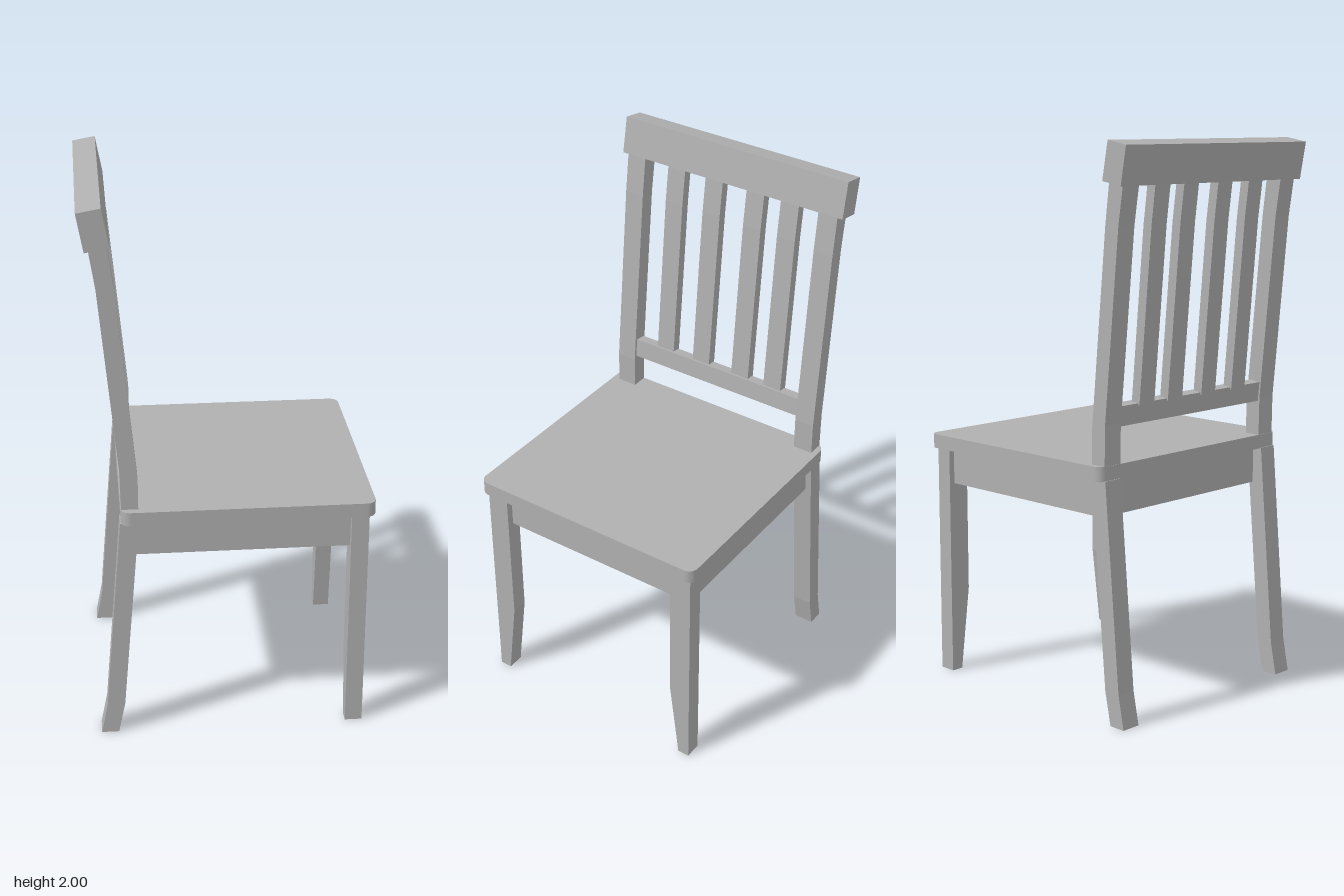
import * as THREE from 'three';

export function createModel() {
  const chair = new THREE.Group();
  chair.name = 'chair';
  const grey = new THREE.MeshStandardMaterial({ color: 0xb0b0b0 });
  grey.name = 'grey wood';

  const add = (name, geometry) => {
    const mesh = new THREE.Mesh(geometry, grey);
    mesh.name = name;
    chair.add(mesh);
    return mesh;
  };

  // Extrudes a side outline (x, y) between two z values
  const slab = (name, points, z0, z1) => {
    const shape = new THREE.Shape(points.map(([x, y]) => new THREE.Vector2(x, y)));
    const geometry = new THREE.ExtrudeGeometry(shape, { depth: z1 - z0, bevelEnabled: false });
    return add(name, geometry.translate(0, 0, z0));
  };

  // Seat board with rounded corners
  const x0 = -0.39, x1 = 0.508, w = 0.468, r = 0.035;
  const board = new THREE.Shape();
  board.moveTo(x0 + r, -w);
  board.lineTo(x1 - r, -w);
  board.absarc(x1 - r, -w + r, r, -Math.PI / 2, 0);
  board.absarc(x1 - r, w - r, r, 0, Math.PI / 2);
  board.absarc(x0 + r, w - r, r, Math.PI / 2, Math.PI);
  board.absarc(x0 + r, -w + r, r, Math.PI, Math.PI * 1.5);
  const seat = new THREE.ExtrudeGeometry(board, { depth: 0.052, bevelEnabled: false, curveSegments: 5 });
  add('seat', seat.rotateX(-Math.PI / 2).translate(0, 0.858, 0));

  // Solid apron under the seat
  add('apron', new THREE.BoxGeometry(0.815, 0.135, 0.85).translate(0.0525, 0.7925, 0));

  // Outlines of the curved rear leg and the leaning back post
  const rearLeg = [[-0.48, 0], [-0.417, 0], [-0.392, 0.12], [-0.328, 0.86], [-0.393, 0.86], [-0.456, 0.12]];
  const post = [[-0.388, 0.9], [-0.328, 0.9], [-0.328, 1.03], [-0.392, 1.72], [-0.412, 1.88],
    [-0.475, 1.87], [-0.452, 1.72], [-0.39, 1.05]];

  for (const side of [1, -1]) {
    const label = side > 0 ? 'Left' : 'Right';
    // Front leg tapers on its inner face
    const leg = new THREE.Shape([[0.363, 0.86], [0.363, 0.31], [0.402, 0], [0.447, 0], [0.447, 0.86]]
      .map(([z, y]) => new THREE.Vector2(side * z, y)));
    const legGeometry = new THREE.ExtrudeGeometry(leg, { depth: 0.063, bevelEnabled: false });
    add('frontLeg' + label, legGeometry.rotateY(-Math.PI / 2).translate(0.487, 0, 0));

    const mid = side * 0.411;
    slab('rearLeg' + label, rearLeg, mid - 0.037, mid + 0.037);
    const postMid = side * 0.405 - 0.003;
    slab('backPost' + label, post, postMid - 0.038, postMid + 0.038);
  }

  // Rails of the backrest
  slab('topRail', [[-0.486, 1.852], [-0.402, 1.867], [-0.427, 2], [-0.51, 1.985]], -0.47, 0.458);
  slab('lowerRail', [[-0.382, 1.037], [-0.339, 1.042], [-0.346, 1.113], [-0.389, 1.108]], -0.375, 0.367);

  // Four upright slats
  for (const z of [0.236, 0.073, -0.102, -0.245]) {
    slab('slat', [[-0.393, 1.1], [-0.356, 1.1], [-0.41, 1.72], [-0.43, 1.875], [-0.466, 1.87], [-0.447, 1.72]],
      z - 0.037, z + 0.037);
  }

  return chair;
}
